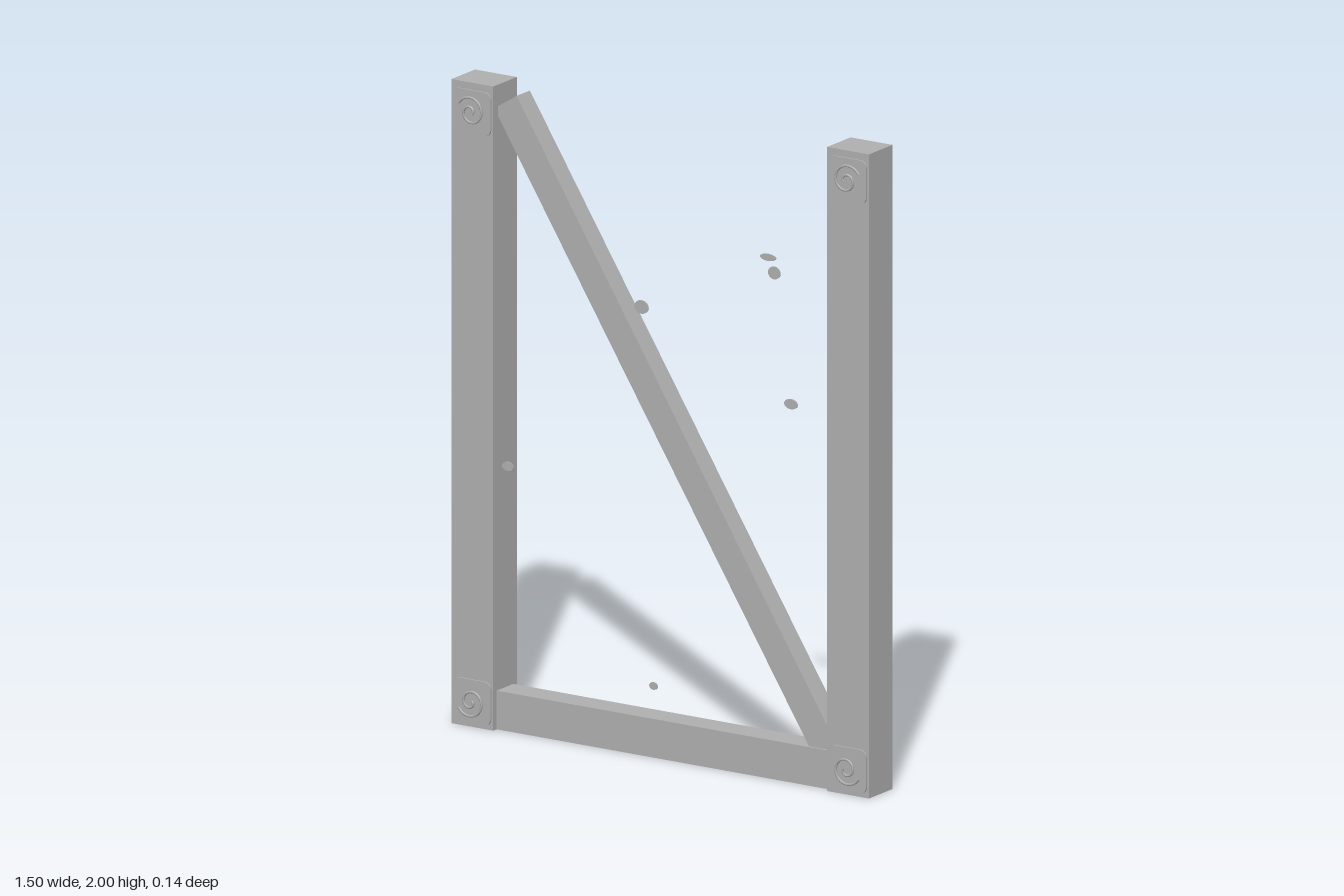
import * as THREE from 'three';

export function createModel() {
  const model = new THREE.Group();
  model.name = 'bracedFrame';
  const grey = new THREE.MeshStandardMaterial({ color: 0xb0b0b0 });
  grey.name = 'stone grey';

  function add(name, geometry, x, y, z, parent = model) {
    const mesh = new THREE.Mesh(geometry, grey);
    mesh.name = name;
    mesh.position.set(x, y, z);
    parent.add(mesh);
    return mesh;
  }

  // Upright posts
  for (const side of [-1, 1]) {
    add(side > 0 ? 'leftPost' : 'rightPost', new THREE.BoxGeometry(0.15, 2, 0.127), side * 0.675, 1, -0.0105);
  }

  // Bottom rail and diagonal brace
  add('bottomRail', new THREE.BoxGeometry(1.2, 0.12, 0.09), 0, 0.06, -0.0105);
  const brace = add('diagonalBrace', new THREE.BoxGeometry(0.095, 2.16, 0.072), 0, 1.035, -0.0085);
  brace.rotation.z = 0.56;

  // Rounded corner plate outline
  const h = 0.068, r = 0.022;
  const outline = new THREE.Shape();
  outline.absarc(h - r, h - r, r, 0, Math.PI / 2);
  outline.absarc(r - h, h - r, r, Math.PI / 2, Math.PI);
  outline.absarc(r - h, r - h, r, Math.PI, Math.PI * 1.5);
  outline.absarc(h - r, r - h, r, Math.PI * 1.5, Math.PI * 2);
  const plate = new THREE.ExtrudeGeometry(outline, { depth: 0.005, bevelEnabled: false, curveSegments: 6 });

  // Raised scroll, mirrored per corner through its points
  function scroll(sx, sy) {
    const points = [];
    for (let i = 0; i <= 24; i++) {
      const t = i / 24;
      const a = 0.5 + t * Math.PI * 3;
      const radius = 0.05 - 0.042 * t;
      points.push(new THREE.Vector3(sx * radius * Math.cos(a), sy * radius * Math.sin(a), 0.005 * t));
    }
    return new THREE.TubeGeometry(new THREE.CatmullRomCurve3(points), 60, 0.004, 6);
  }

  // Ornaments at the four post ends
  for (const sx of [-1, 1]) {
    for (const sy of [-1, 1]) {
      const ornament = new THREE.Group();
      ornament.name = 'cornerOrnament';
      ornament.position.set(sx * 0.675, sy > 0 ? 1.91 : 0.08, 0.053);
      add('cornerPlate', plate, 0, 0, 0, ornament);
      add('cornerScroll', scroll(sx, sy), 0, 0, 0.008, ornament);
      model.add(ornament);
    }
  }

  // Small floating flecks: x, y, half width, half height
  const flecks = [
    [0.39, 1.625, 0.029, 0.011], [0.412, 1.58, 0.022, 0.02], [-0.065, 1.4, 0.025, 0.021],
    [0.472, 1.182, 0.024, 0.016], [-0.545, 0.83, 0.021, 0.014], [-0.022, 0.23, 0.015, 0.012],
  ];
  for (const [x, y, rx, ry] of flecks) {
    const disc = new THREE.CylinderGeometry(1, 1, 0.003, 16).rotateX(Math.PI / 2).scale(rx, ry, 1);
    add('fleck', disc, x, y, 0.056);
  }
  return model;
}
